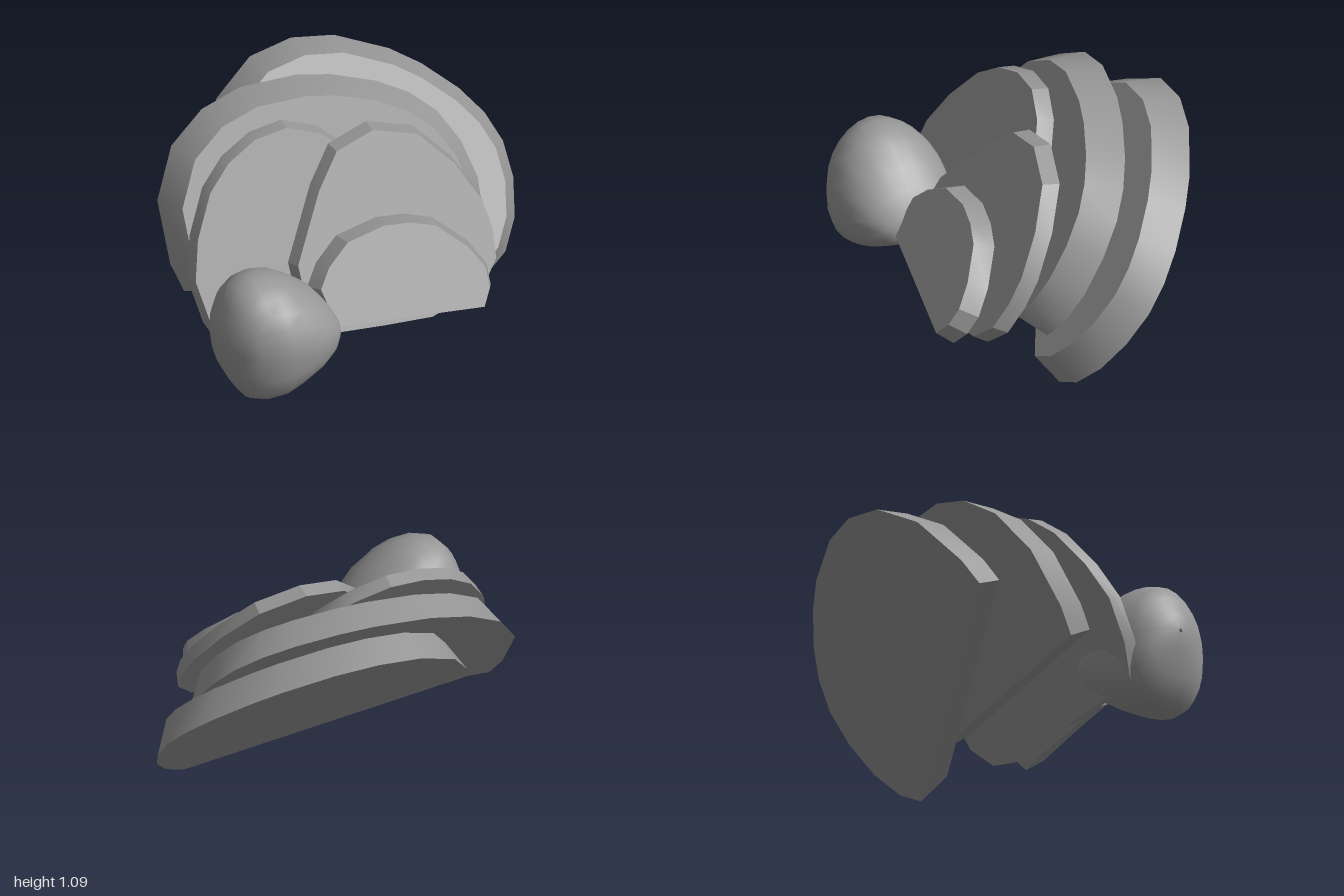
import * as THREE from 'three';
import { toCreasedNormals } from 'three/addons/utils/BufferGeometryUtils.js';

const material = new THREE.MeshStandardMaterial({ color: 0x989898, side: THREE.DoubleSide });
const V = (x, y, z) => new THREE.Vector3(x, y, z);

// Slab from a back outline (counter-clockwise seen from the front, first and
// last points form the cut edge); the front outline shrinks towards that edge.
function slab(name, back, normal, thickness, taper) {
  const mid = back[0].clone().lerp(back[back.length - 1], 0.5);
  const front = back.map(p => mid.clone().lerp(p, taper).addScaledVector(normal, thickness));
  const centre = pts => pts.reduce((s, p) => s.add(p), V(0, 0, 0)).divideScalar(pts.length);
  const cb = centre(back), cf = centre(front), tris = [];
  back.forEach((p, i) => {
    const j = (i + 1) % back.length;
    tris.push(cf, front[i], front[j], cb, back[j], p);
    tris.push(p, back[j], front[j], p, front[j], front[i]);
  });
  const geometry = toCreasedNormals(new THREE.BufferGeometry().setFromPoints(tris), 0.45);
  const mesh = new THREE.Mesh(geometry, material);
  mesh.name = name;
  return mesh;
}

// Broad half-round outline laid along a cut edge from left to right
const halfRound = [
  [0.73, 0], [0.79, 0.13], [0.79, 0.31], [0.73, 0.5], [0.63, 0.66], [0.5, 0.77], [0.34, 0.85],
  [0.12, 0.915], [-0.06, 0.94], [-0.35, 0.925], [-0.56, 0.85], [-0.74, 0.7], [-0.85, 0.45],
  [-0.83, 0.14], [-0.78, 0],
];
function broadSlab(name, left, right, n, height) {
  const u = right.clone().sub(left).normalize();
  const normal = n.clone().normalize();
  const v = normal.clone().cross(u);
  const mid = left.clone().lerp(right, 0.5);
  const pts = halfRound.map(([a, b]) =>
    mid.clone().addScaledVector(u, a).addScaledVector(v, b * height));
  return slab(name, pts, normal, 0.17, 0.9);
}

// Outline given as x, y and dropped onto a leaning plane
function leaningSlab(name, outline, origin, n, thickness, taper) {
  const normal = n.clone().normalize();
  const pts = outline.map(([x, y]) =>
    V(x, y, origin.z - (normal.x * (x - origin.x) + normal.y * (y - origin.y)) / normal.z));
  return slab(name, pts, normal, thickness, taper);
}

// Smooth pointed lump: rings strung along x, fuller in the lower half
function lump() {
  // x, bottom, top, half depth
  const rings = [
    [-1, 0.42, 0.44, 0.01], [-0.995, 0.34, 0.51, 0.08], [-0.96, 0.19, 0.62, 0.17],
    [-0.9, 0.07, 0.695, 0.235], [-0.82, 0.045, 0.72, 0.28], [-0.74, 0.05, 0.715, 0.3],
    [-0.65, 0.09, 0.68, 0.3], [-0.55, 0.15, 0.605, 0.285], [-0.46, 0.21, 0.525, 0.24],
    [-0.4, 0.255, 0.44, 0.17], [-0.375, 0.29, 0.39, 0.12], [-0.365, 0.33, 0.35, 0.01],
  ];
  const n = 24, pos = [], index = [];
  const full = t => Math.sign(t) * Math.abs(t) ** 0.8;
  rings.forEach(([x, lo, hi, rz], i) => {
    for (let k = 0; k < n; k++) {
      const a = (k / n) * Math.PI * 2, s = Math.sin(a), c = Math.cos(a);
      const low = s < 0;
      pos.push(x, (lo + hi) / 2 + (hi - lo) / 2 * (low ? full(s) : s), 0.45 + rz * (low ? full(c) : c));
      if (i < rings.length - 1) {
        const p = i * n + k, q = i * n + (k + 1) % n;
        index.push(p, p + n, q + n, p, q + n, q);
      }
    }
  });
  const g = new THREE.BufferGeometry();
  g.setAttribute('position', new THREE.Float32BufferAttribute(pos, 3));
  g.setIndex(index);
  g.computeVertexNormals();
  const mesh = new THREE.Mesh(g, material);
  mesh.name = 'lump';
  return mesh;
}

export function createModel() {
  const model = new THREE.Group();
  model.name = 'slices';

  // Two thick slices at the back
  model.add(broadSlab('backSlice', V(-0.49, 0.55, -0.45), V(0.69, 0.01, 0.21), V(-0.157, 0.635, 0.757), 1));
  model.add(broadSlab('secondSlice', V(-0.82, 0.27, -0.14), V(0.62, 0.25, 0.24), V(-0.21, 0.55, 0.81), 1.04));

  // Thin slice behind the lump
  model.add(leaningSlab('thirdSlice', [
    [-0.25, 0.12], [0, 0.2], [0.12, 0.35], [0.16, 0.6], [0.08, 0.85], [-0.08, 1], [-0.25, 1.065],
    [-0.43, 1.05], [-0.6, 0.98], [-0.74, 0.87], [-0.87, 0.68], [-0.94, 0.5], [-0.92, 0.3], [-0.85, 0.14],
  ], V(-0.25, 0.12, 0.33), V(-0.1, 0.5, 0.86), 0.08, 0.97));

  // Thin slice in the middle
  model.add(leaningSlab('fourthSlice', [
    [0.17, 0.15], [0.48, 0.22], [0.59, 0.33], [0.615, 0.47], [0.6, 0.6], [0.51, 0.79], [0.36, 0.96],
    [0.13, 1.03], [-0.09, 0.98], [-0.24, 0.83], [-0.46, 0.53], [-0.47, 0.35], [-0.42, 0.2], [-0.1, 0.17],
  ], V(0.17, 0.15, 0.51), V(-0.1, 0.52, 0.85), 0.08, 0.96));

  // Small slice in front
  model.add(leaningSlab('frontSlice', [
    [0.41, 0.22], [0.47, 0.3], [0.48, 0.39], [0.42, 0.5], [0.28, 0.63], [0.15, 0.67], [0, 0.685],
    [-0.22, 0.65], [-0.36, 0.56], [-0.44, 0.47], [-0.41, 0.29],
  ], V(0.41, 0.22, 0.66), V(-0.13, 0.555, 0.82), 0.1, 0.92));

  model.add(lump());
  return model;
}
